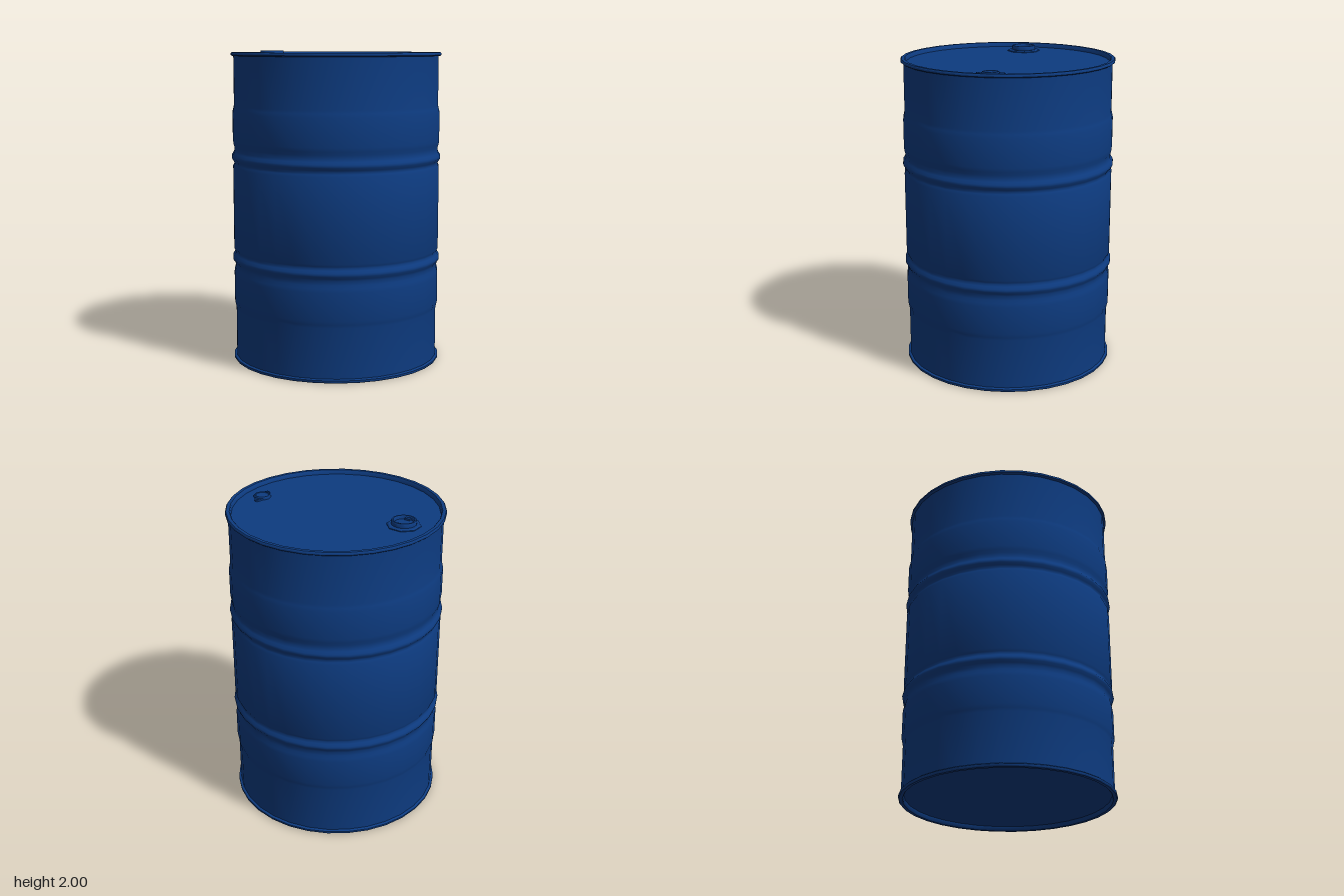
import * as THREE from 'three';
import { toCreasedNormals } from 'three/addons/utils/BufferGeometryUtils.js';

const SIDES = 32;
const TURN = THREE.MathUtils.degToRad(4.05);
const LID_Y = 1.963;

export function createModel() {
  const drum = new THREE.Group();
  drum.name = 'drum';
  const paint = new THREE.MeshStandardMaterial({ color: 0x0d3b80 });

  function add(parent, name, geometry, x = 0, y = 0, z = 0) {
    const mesh = new THREE.Mesh(geometry, paint);
    mesh.name = name;
    mesh.position.set(x, y, z);
    parent.add(mesh);
    return mesh;
  }
  // Turned part from [radius, height] pairs, listed bottom to top on the outside
  function turned(profile, sides = SIDES, crease = 0.7) {
    const points = profile.map(([r, y]) => new THREE.Vector2(r, y));
    return toCreasedNormals(new THREE.LatheGeometry(points, sides, TURN), crease);
  }

  // Side wall: the lower half is mirrored to make the upper half
  const half = [
    [0.66, 0.02], [0.66, 0.34], [0.664, 0.36], [0.67, 0.385], [0.67, 0.56], [0.667, 0.585],
    [0.661, 0.605], [0.66, 0.63], [0.666, 0.645], [0.676, 0.66], [0.678, 0.67],
    [0.676, 0.68], [0.666, 0.695], [0.66, 0.708], [0.663, 0.72], [0.67, 0.735],
  ];
  const top = half.map(([r, y]) => [r, 1.995 - y]).reverse();
  add(drum, 'wall', turned([...half, ...top], SIDES, 1.2));

  // Rolled rims together with the recessed end plates
  const rim = [
    [0.655, -0.024], [0.67, -0.022], [0.676, -0.017], [0.676, -0.006],
    [0.671, 0], [0.65, 0], [0.645, -0.005], [0.641, -0.027], [0, -0.027],
  ];
  add(drum, 'topRimAndLid', turned(rim), 0, LID_Y + 0.027, 0);
  add(drum, 'bottomRimAndBase', turned(rim.map(([r, y]) => [r, -y]).reverse()));

  // Large bung: octagonal flange, round collar and a sunken cup with two lugs
  const bung = new THREE.Group();
  bung.name = 'largeBung';
  bung.position.set(-0.34, LID_Y, -0.308);
  drum.add(bung);
  const flange = add(bung, 'bungFlange',
    turned([[0.106, 0], [0.106, 0.005], [0.097, 0.011], [0, 0.011]], 8, 0.5));
  flange.rotation.y = Math.PI / 8 - 2 * TURN;
  add(bung, 'bungCollar', turned([
    [0.077, 0.01], [0.077, 0.032], [0.073, 0.037], [0.065, 0.037],
    [0.061, 0.033], [0.059, 0.016], [0, 0.016],
  ], 20));
  for (const s of [-1, 1]) {
    const lug = add(bung, 'bungLug', new THREE.BoxGeometry(0.022, 0.012, 0.034),
      s * 0.036, 0.021, -s * 0.036);
    lug.rotation.y = Math.PI / 4;
  }

  // Small bung: low cap with a pair of ears
  const vent = new THREE.Group();
  vent.name = 'smallBung';
  vent.position.set(0.396, LID_Y, 0.336);
  drum.add(vent);
  add(vent, 'ventCap', turned([
    [0.054, 0], [0.054, 0.012], [0.049, 0.018], [0.043, 0.018], [0.04, 0.015], [0, 0.015],
  ], 10));
  for (const s of [-1, 1]) {
    const ear = new THREE.Shape();
    ear.moveTo(0.038, -0.03);
    ear.lineTo(0.07, -0.017);
    ear.absarc(0.07, 0, 0.017, -Math.PI / 2, Math.PI / 2, false);
    ear.lineTo(0.038, 0.03);
    const hole = new THREE.Path();
    hole.absarc(0.07, 0, 0.007, 0, Math.PI * 2, true);
    ear.holes.push(hole);
    const geometry = new THREE.ExtrudeGeometry(ear,
      { depth: 0.01, bevelEnabled: false, curveSegments: 6 }).rotateX(-Math.PI / 2);
    add(vent, 'ventEar', geometry).rotation.y = 0.92 + (s < 0 ? Math.PI : 0);
  }
  return drum;
}
